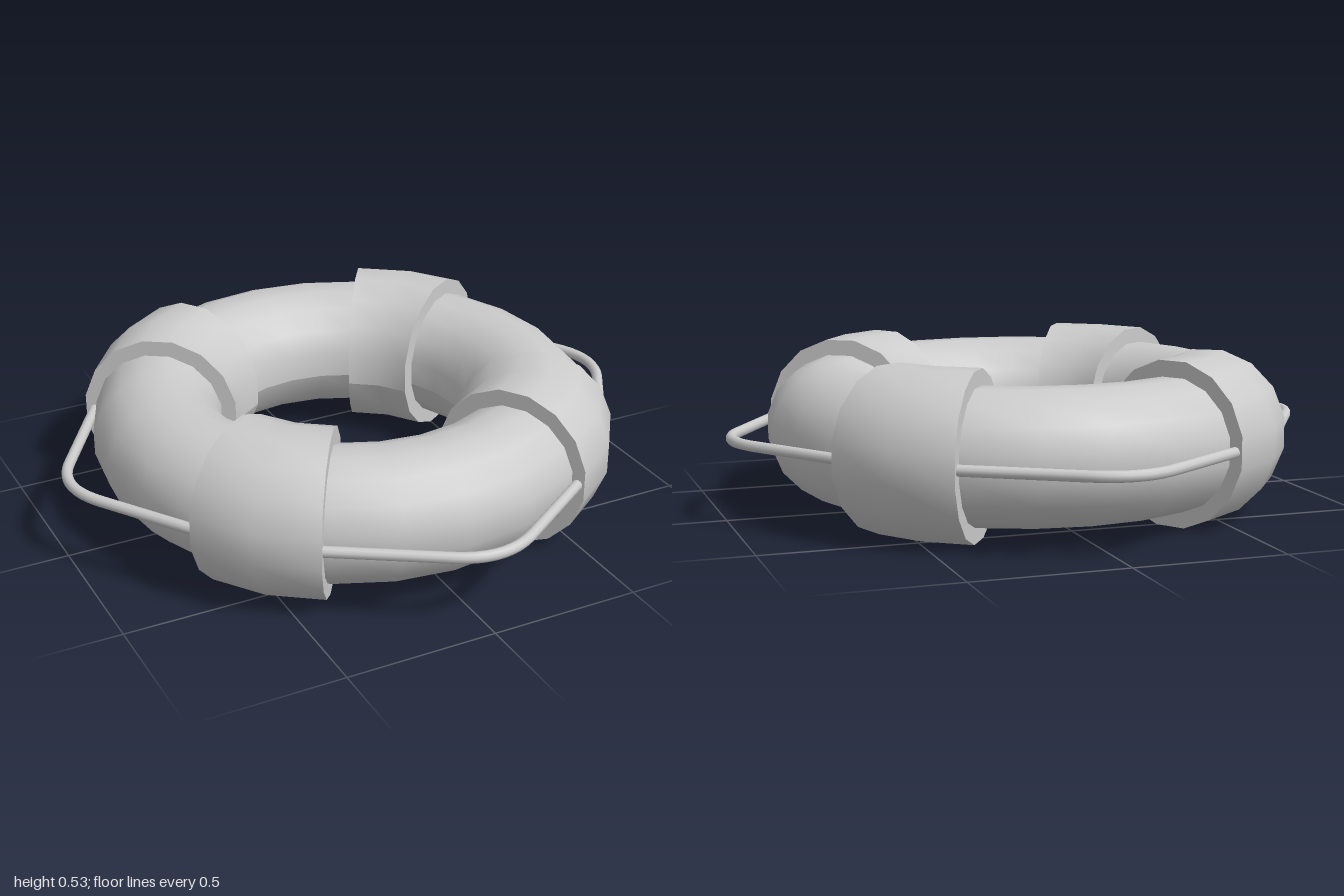
import * as THREE from 'three';

const RING = 0.6325;                          // centre-line radius of the float
const SIDES = 16;
const TUBE = 0.2125 / Math.cos(Math.PI / SIDES); // corner radius of the tube
const MID_Y = 0.265;
const ARC = Math.PI / 6;                      // angle covered by each band

const grey = new THREE.MeshStandardMaterial({ color: 0xcccccc });
const greyDouble = new THREE.MeshStandardMaterial({ color: 0xcccccc, side: THREE.DoubleSide });

// Closed tube section with flats facing up, down, in and out
function tubeSection() {
  const points = [];
  for (let i = 0; i <= SIDES; i++) {
    const a = Math.PI + (i + 0.5) * 2 * Math.PI / SIDES;
    points.push(new THREE.Vector2(RING + TUBE * Math.cos(a), TUBE * Math.sin(a)));
  }
  return points;
}

function addMesh(parent, name, geometry, material = grey) {
  const mesh = new THREE.Mesh(geometry, material);
  mesh.name = name;
  parent.add(mesh);
  return mesh;
}

// Thick band around the tube, centred on +z, with flat end faces
function makeBand() {
  const band = new THREE.Group();
  band.name = 'band';
  addMesh(band, 'bandSleeve', new THREE.LatheGeometry(tubeSection(), 2, -ARC / 2, ARC));
  for (const side of [-1, 1]) {
    const end = new THREE.RingGeometry(TUBE * 0.75, TUBE, SIDES, 1, Math.PI / SIDES);
    end.translate(RING, 0, 0);
    end.rotateY(side * ARC / 2 - Math.PI / 2);
    addMesh(band, 'bandEnd', end, greyDouble);
  }
  // Swell the section beyond the float, keeping the length of the band
  band.scale.set(0.96, 1.247, 1.23);
  band.position.z = 0.6225 * (1 - 1.23);
  return band;
}

// One loop of grab rope, sagging outwards between two bands
function ropeGeometry() {
  const p = (x, z) => new THREE.Vector3(x, 0, z);
  const path = new THREE.CurvePath();
  path.add(new THREE.LineCurve3(p(-0.52, -0.687), p(-0.16, -0.928)));
  path.add(new THREE.QuadraticBezierCurve3(p(-0.16, -0.928), p(-0.02, -1.023), p(0.12, -0.936)));
  path.add(new THREE.LineCurve3(p(0.12, -0.936), p(0.52, -0.687)));
  return new THREE.TubeGeometry(path, 40, 0.018, 10);
}

export function createModel() {
  const model = new THREE.Group();
  model.name = 'lifeRing';

  addMesh(model, 'floatRing', new THREE.LatheGeometry(tubeSection(), 24)).position.y = MID_Y;

  const rope = ropeGeometry();
  for (let i = 0; i < 4; i++) {
    // Bands sit on the diagonals
    const arm = new THREE.Group();
    arm.name = 'bandMount';
    arm.rotation.y = Math.PI / 4 + i * Math.PI / 2;
    arm.position.y = MID_Y;
    arm.add(makeBand());
    model.add(arm);

    // Rope loops span the gaps
    const loop = addMesh(model, 'grabRope', rope);
    loop.rotation.y = i * Math.PI / 2;
    loop.position.y = MID_Y;
  }
  return model;
}
